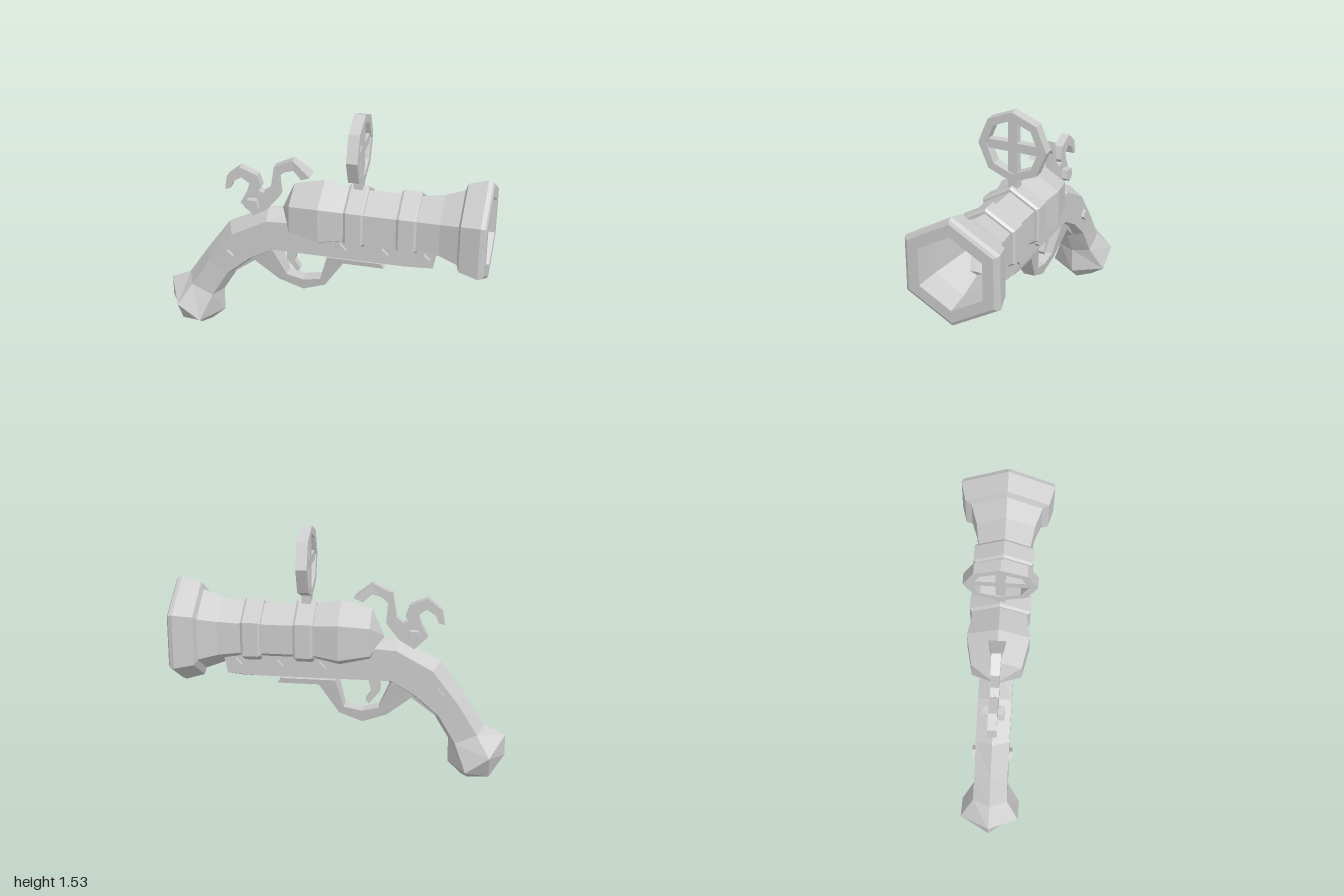
import * as THREE from 'three';

const AXIS_Y = 0.87; // height of the barrel axis

export function createModel() {
  const model = new THREE.Group();
  const material = new THREE.MeshStandardMaterial({ color: 0xcccccc, flatShading: true });

  function add(name, geometry, x = 0, y = 0, z = 0, parent = model) {
    const mesh = new THREE.Mesh(geometry, material);
    mesh.name = name;
    mesh.position.set(x, y, z);
    parent.add(mesh);
    return mesh;
  }

  const toShape = (pts) => new THREE.Shape(pts.map(([x, y]) => new THREE.Vector2(x, y)));

  // Side-profile plate, centred on z = 0; halfWidth(x, y) sets the local thickness
  function plate(pts, halfWidth) {
    const geo = new THREE.ExtrudeGeometry(toShape(pts), { depth: 2, bevelEnabled: false });
    geo.translate(0, 0, -1);
    const p = geo.attributes.position;
    for (let i = 0; i < p.count; i++) p.setZ(i, p.getZ(i) * halfWidth(p.getX(i), p.getY(i)));
    geo.computeVertexNormals();
    return geo;
  }

  // Six-sided turned part along x, from [x, radius] pairs
  function hexTurned(profile) {
    const pts = profile.map(([x, r]) => new THREE.Vector2(r, x));
    return new THREE.LatheGeometry(pts, 6, Math.PI / 2).rotateZ(-Math.PI / 2);
  }

  // Barrel with flared, hollow muzzle
  add('barrel', hexTurned([
    [-0.26, 0], [-0.185, 0.17], [0, 0.215], [0.16, 0.18], [0.58, 0.18], [0.72, 0.205],
    [0.835, 0.25], [0.85, 0.295], [0.965, 0.33], [0.99, 0.32], [1, 0.3],
    [1, 0.225], [0.85, 0.205], [0.6, 0.125], [0.1, 0.115], [0.02, 0],
  ]), 0, AXIS_Y);

  // Barrel bands
  for (const x of [0.21, 0.525]) {
    add('barrelBand', hexTurned([
      [-0.06, 0.17], [-0.06, 0.195], [-0.045, 0.208], [0.045, 0.208], [0.06, 0.195], [0.06, 0.17],
    ]), x, AXIS_Y);
  }

  // Stock stations, front to butt: ridge, shoulder, lower edge, keel, half widths
  const stations = [
    [[0.70, 0.74], [0.70, 0.73], [0.68, 0.63], [0.61, 0.585], 0.1],
    [[0.55, 0.82], [0.55, 0.82], [0.50, 0.62], [0.50, 0.585], 0.1],
    [[-0.15, 0.865], [-0.15, 0.82], [-0.15, 0.62], [-0.15, 0.585], 0.1],
    [[-0.35, 0.865], [-0.34, 0.81], [-0.31, 0.62], [-0.28, 0.585], 0.1],
    [[-0.60, 0.73], [-0.56, 0.69], [-0.45, 0.54], [-0.42, 0.505], 0.1],
    [[-0.75, 0.52], [-0.72, 0.48], [-0.60, 0.41], [-0.565, 0.385], 0.1],
    [[-0.875, 0.33], [-0.83, 0.30], [-0.70, 0.24], [-0.655, 0.235], 0.105],
    [[-1, 0.27], [-0.91, 0.18], [-0.77, 0.08], [-0.655, 0.08], 0.178],
    [[-1, 0.14], [-0.91, 0.03], [-0.78, 0.02], [-0.74, 0], 0.09],
  ];
  const verts = [];
  const index = [];
  for (const [t, s, l, k, w] of stations) {
    verts.push(...t, 0, ...s, w, ...l, w, ...k, 0, ...l, -w, ...s, -w);
  }
  const n = stations.length;
  verts.push(0.68, 0.68, 0, -0.91, 0, 0); // cap centres
  for (let j = 0; j < 6; j++) {
    const q = (j + 1) % 6;
    for (let i = 0; i < n - 1; i++) {
      const a = i * 6 + j, b = i * 6 + q, c = b + 6, d = a + 6;
      index.push(a, d, c, a, c, b);
    }
    index.push(n * 6, j, q, n * 6 + 1, (n - 1) * 6 + q, (n - 1) * 6 + j);
  }
  const stock = new THREE.BufferGeometry();
  stock.setAttribute('position', new THREE.Float32BufferAttribute(verts, 3));
  stock.setIndex(index);
  stock.computeVertexNormals();
  add('stock', stock);

  // Rivets through the stock
  for (const [x, y] of [[0.12, 0.69], [0.375, 0.69], [0.625, 0.69], [-0.59, 0.55]]) {
    add('rivet', new THREE.BoxGeometry(0.053, 0.053, 0.24), x, y).rotation.z = Math.PI / 4;
  }

  // Trigger guard, narrowing towards the bottom
  add('triggerGuard', plate([
    [-0.58, 0.385], [-0.43, 0.505], [-0.28, 0.38], [-0.13, 0.325], [0.01, 0.38], [0.13, 0.568],
    [0.38, 0.568], [0.36, 0.6], [0.03, 0.6], [-0.02, 0.42], [-0.13, 0.398], [-0.23, 0.425],
    [-0.31, 0.6], [-0.44, 0.56], [-0.58, 0.42],
  ], (x, y) => 0.028 + Math.max(0, y - 0.33) * 0.18));

  // Trigger
  add('trigger', plate([
    [-0.235, 0.6], [-0.235, 0.52], [-0.17, 0.44], [-0.15, 0.465], [-0.185, 0.52], [-0.165, 0.6],
  ], () => 0.022));

  // Hammer with curled spur and wide jaw
  const hammer = new THREE.Group();
  hammer.name = 'hammer';
  model.add(hammer);
  add('hammerArm', plate([
    [-0.615, 0.96], [-0.6, 1.05], [-0.52, 1.118], [-0.41, 1.075], [-0.385, 1.0], [-0.405, 0.975],
    [-0.375, 0.962], [-0.328, 1.0], [-0.305, 1.145], [-0.19, 1.2], [-0.08, 1.11], [-0.135, 1.085],
    [-0.185, 1.135], [-0.245, 1.115], [-0.28, 1.08], [-0.27, 0.957], [-0.35, 0.855], [-0.44, 0.80],
    [-0.52, 0.88], [-0.48, 0.955], [-0.46, 1.015], [-0.51, 1.05], [-0.565, 1.015], [-0.58, 0.97],
  ], (x) => 0.026 + Math.max(0, x + 0.2) * 0.22), 0, 0, 0, hammer);
  add('hammerPin', new THREE.CylinderGeometry(0.045, 0.045, 0.13, 5).rotateX(Math.PI / 2),
    -0.44, 0.885, 0, hammer);

  // Ring sight: octagon frame, cross hairs and stem
  const sight = new THREE.Group();
  sight.name = 'ringSight';
  sight.position.set(0.208, 1.315, 0);
  model.add(sight);
  const octagon = (r) => Array.from({ length: 8 }, (_, i) =>
    [r * Math.cos(i * Math.PI / 4), r * Math.sin(i * Math.PI / 4)]);
  const frame = toShape(octagon(0.215));
  frame.holes.push(toShape(octagon(0.165)));
  add('sightFrame', new THREE.ExtrudeGeometry(frame, { depth: 0.066, bevelEnabled: false })
    .translate(0, 0, -0.033).rotateY(Math.PI / 2), 0, 0, 0, sight);
  add('sightCrossVertical', new THREE.BoxGeometry(0.05, 0.36, 0.056), 0, 0, 0, sight);
  add('sightCrossHorizontal', new THREE.BoxGeometry(0.05, 0.056, 0.36), 0, 0, 0, sight);
  add('sightStem', new THREE.BoxGeometry(0.055, 0.13, 0.06), 0, -0.24, 0, sight);

  return model;
}
